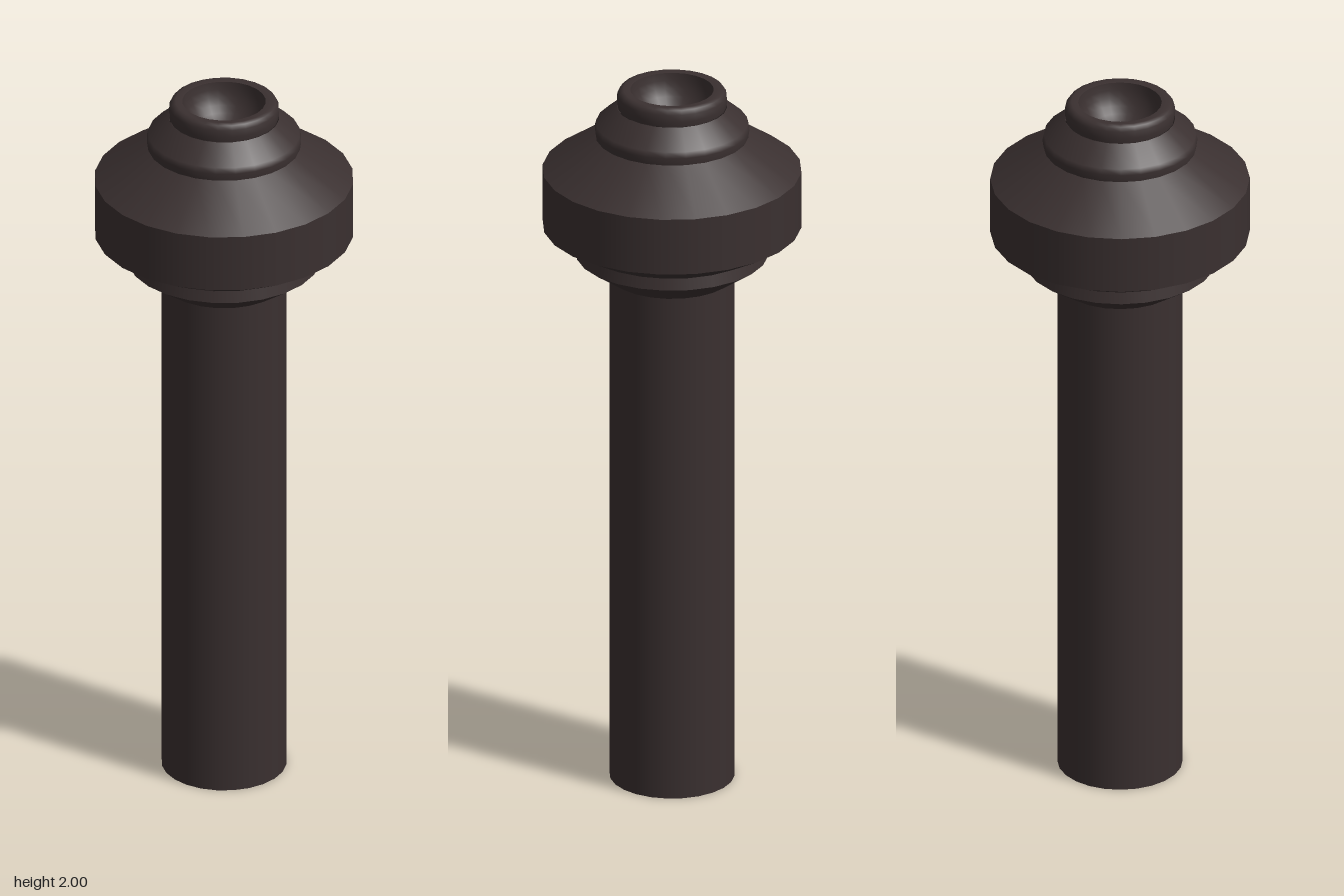
import * as THREE from 'three';

export function createModel() {
  const group = new THREE.Group();
  const darkMetal = new THREE.MeshStandardMaterial({ color: 0x3a3030, side: THREE.DoubleSide });
  darkMetal.name = 'dark brown';

  // Each band is a separate lathe: smooth around the axis, crisp where bands meet
  function band(name, points, sides = 24) {
    const profile = points.map(([r, y]) => new THREE.Vector2(r, y));
    const mesh = new THREE.Mesh(new THREE.LatheGeometry(profile, sides), darkMetal);
    mesh.name = name;
    group.add(mesh);
  }

  // Hollow shaft, open at the foot
  band('shaft', [[0.168, 0], [0.168, 1.46]]);

  // Flared collar under the drum
  band('lowerCollarFlare', [[0.168, 1.459], [0.259, 1.522]]);
  band('lowerCollarNeck', [[0.259, 1.522], [0.252, 1.554]]);

  // Wide drum with sloped underside and shoulder
  band('drumUnderside', [[0.252, 1.554], [0.348, 1.607]]);
  band('drumWall', [[0.348, 1.607], [0.348, 1.767]]);
  band('drumShoulder', [[0.348, 1.767], [0.205, 1.864]]);

  // Upper collar with a softened top edge
  band('upperCollar', [[0.205, 1.864], [0.208, 1.885], [0.204, 1.902], [0.148, 1.95]]);

  // Mouth ring with a rounded lip
  band('mouthRing', [[0.146, 1.95], [0.148, 1.965], [0.147, 1.985], [0.14, 1.996], [0.13, 2], [0.112, 1.998]]);

  // Rounded hollow inside the mouth
  const bowl = [];
  for (let i = 0; i <= 8; i++) {
    const a = (i / 8) * Math.PI / 2;
    bowl.push([0.112 * Math.cos(a), 1.998 - 0.11 * Math.sin(a)]);
  }
  band('mouthBowl', bowl);

  return group;
}
